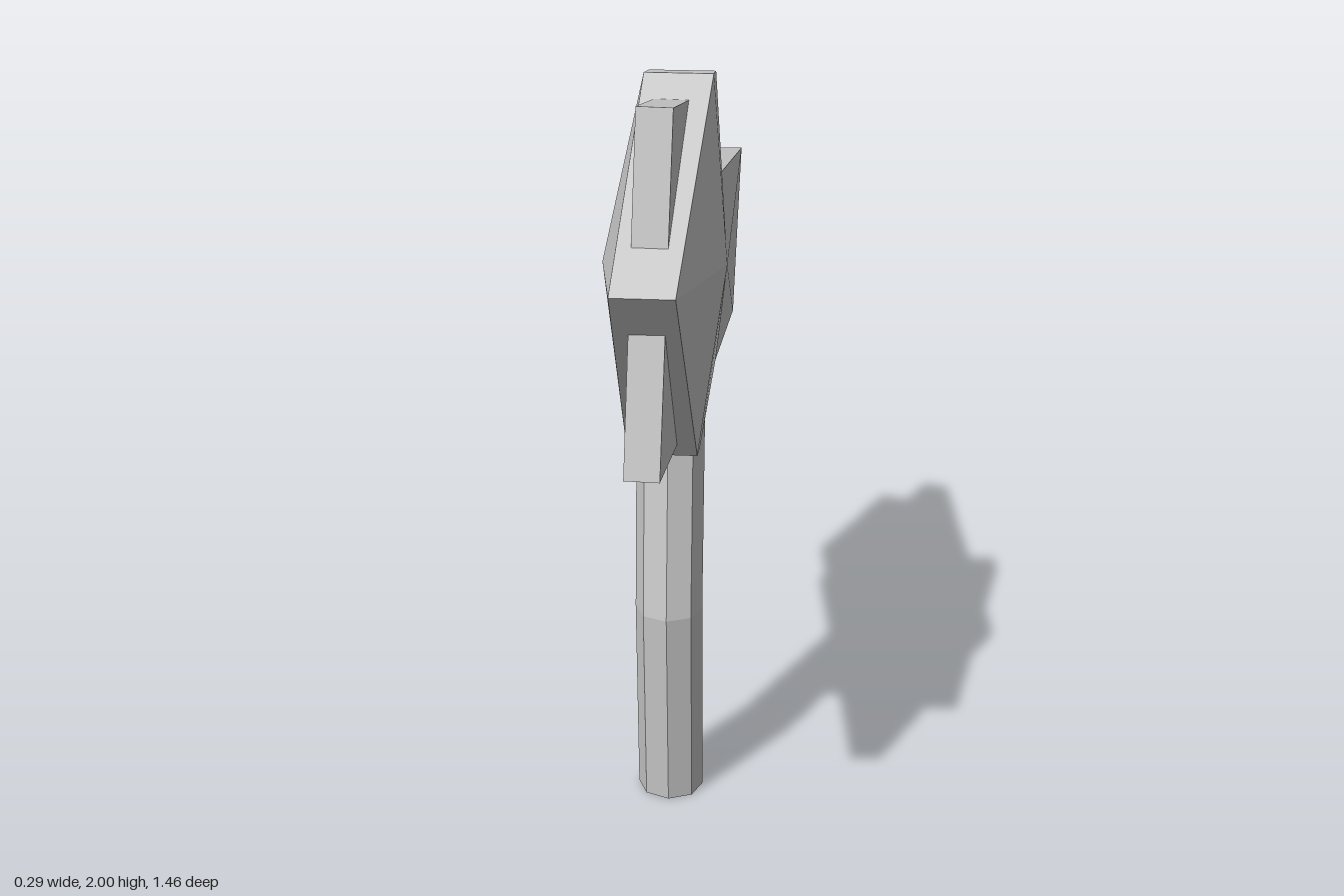
import * as THREE from 'three';

const material = new THREE.MeshStandardMaterial({ color: 0xcccccc, flatShading: true });

function addMesh(group, name, geometry) {
  const mesh = new THREE.Mesh(geometry, material);
  mesh.name = name;
  group.add(mesh);
  return mesh;
}

// Faceted arrow: each outline point is [z, y, right x, left x];
// both broad sides fan out from a raised centre point.
function arrowGeometry() {
  const outline = [
    [0.73, 1.65, -0.07, 0.07],    // tip
    [0.07, 1.955, -0.055, 0.105], // upper barb
    [-0.015, 1.94, -0.05, 0.105],
    [0.07, 1.725, -0.1, 0.125],   // upper notch
    [-0.73, 1.55, -0.09, 0.133],  // tail
    [-0.67, 1.34, -0.098, 0.127],
    [-0.635, 1.12, -0.102, 0.12],
    [0.165, 1.295, -0.11, 0.12],  // lower notch
    [0.18, 1.07, -0.08, 0.085],   // lower barb
    [0.265, 1.09, -0.08, 0.085],
  ];
  const right = [-0.145, 1.53, 0.16];
  const left = [0.145, 1.53, 0.16];
  const positions = [];
  outline.forEach((p, i) => {
    const q = outline[(i + 1) % outline.length];
    const pr = [p[2], p[1], p[0]], pl = [p[3], p[1], p[0]];
    const qr = [q[2], q[1], q[0]], ql = [q[3], q[1], q[0]];
    positions.push(...left, ...ql, ...pl); // left face
    positions.push(...right, ...pr, ...qr); // right face
    positions.push(...pl, ...ql, ...qr, ...pl, ...qr, ...pr); // rim
  });
  const geometry = new THREE.BufferGeometry();
  geometry.setAttribute('position', new THREE.Float32BufferAttribute(positions, 3));
  geometry.computeVertexNormals();
  return geometry;
}

// Octagonal post whose middle ring is pushed forward into a bend
function postGeometry() {
  const height = 1.135;
  const geometry = new THREE.CylinderGeometry(0.085, 0.085, height, 8, 2);
  const pos = geometry.attributes.position;
  for (let i = 0; i < pos.count; i++) {
    const bend = Math.abs(pos.getY(i)) < 0.01 ? 0.042 : -0.023;
    pos.setZ(i, pos.getZ(i) + bend);
  }
  geometry.translate(0, height / 2, 0);
  geometry.computeVertexNormals();
  return geometry;
}

export function createModel() {
  const model = new THREE.Group();
  model.name = 'arrowSignpost';

  addMesh(model, 'post', postGeometry());
  addMesh(model, 'arrow', arrowGeometry());

  // Thin backing plank passing through the arrow, slightly askew
  const plank = addMesh(model, 'plank', new THREE.BoxGeometry(0.079, 0.796, 1.275));
  plank.position.set(0.011, 1.472, -0.006);
  plank.rotation.set(-0.22, -0.0175, -0.0154, 'YZX');

  return model;
}
